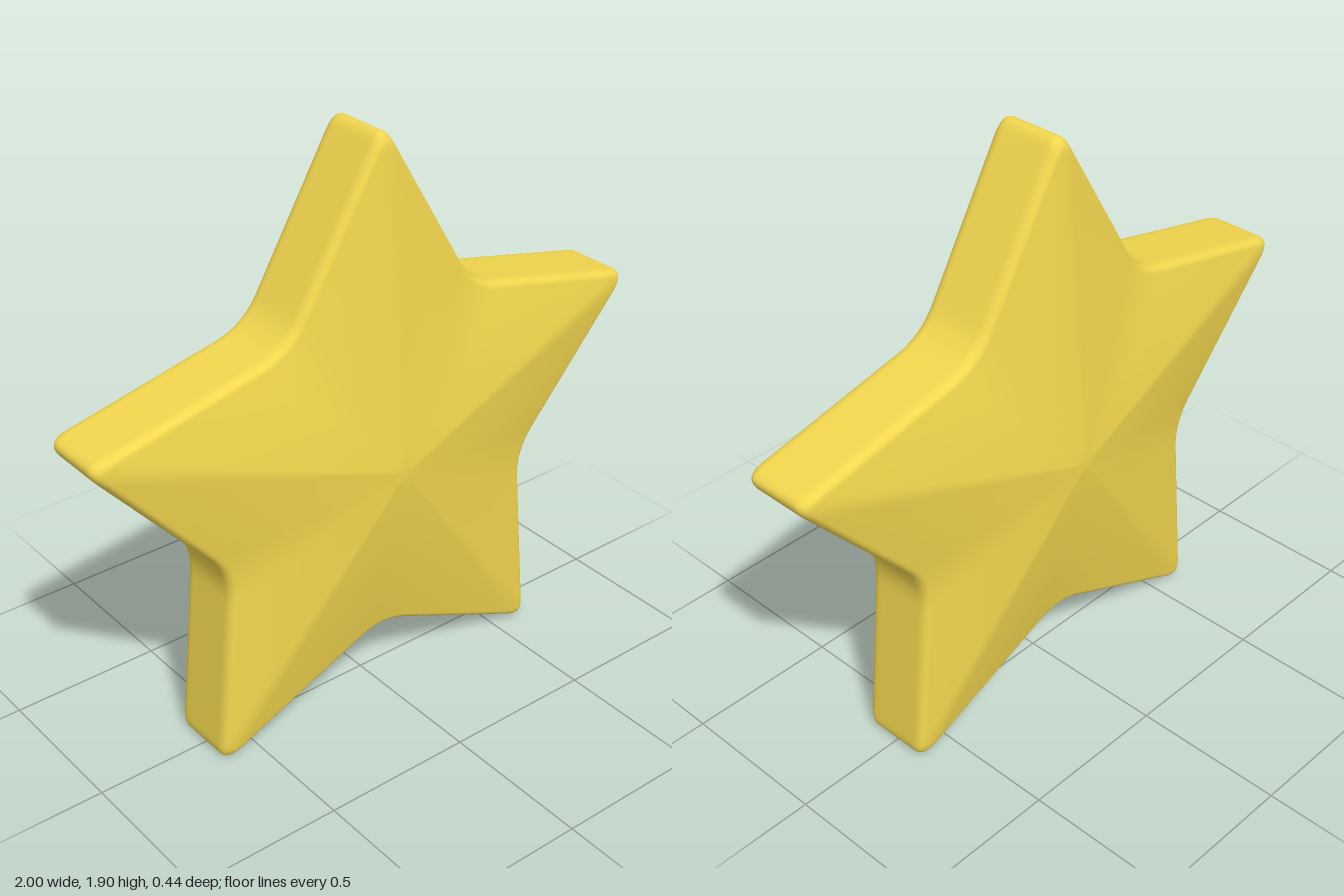
import * as THREE from 'three';

const TIP = 1.08, VALLEY = 0.6;        // sharp corner radii
const WALL = 0.085, RIM = 0.12, PEAK = 0.22; // half depths
const RIM_SCALE = 0.957;

// Five-pointed outline with rounded tips and valleys, counter-clockwise
function starOutline() {
  const corners = [];
  for (let i = 0; i < 10; i++) {
    const a = Math.PI / 2 + i * Math.PI / 5, r = i % 2 ? VALLEY : TIP;
    corners.push(new THREE.Vector2(Math.cos(a) * r, Math.sin(a) * r));
  }
  const toward = (p, q, d) => q.clone().sub(p).setLength(d).add(p);
  const points = [];
  corners.forEach((p, i) => {
    const prev = corners[(i + 9) % 10], next = corners[(i + 1) % 10];
    const cut = i % 2 ? 0.1 : 0.07, nextCut = i % 2 ? 0.07 : 0.1;
    const end = toward(p, next, cut);
    points.push(...new THREE.QuadraticBezierCurve(toward(p, prev, cut), p, end).getPoints(8));
    const nextStart = toward(next, p, nextCut);
    for (let k = 1; k < 8; k++) points.push(end.clone().lerp(nextStart, k / 8));
  });
  return points;
}

// Cross-sections from the front peak to the rim: [scale, z]
function frontSections() {
  const sections = [];
  for (let i = 1; i <= 16; i++) {
    const s = i / 16;
    sections.push([s * RIM_SCALE, RIM + (PEAK - RIM) * (1 - Math.pow(s, 1.15))]);
  }
  // rounded edge
  for (let i = 1; i <= 6; i++) {
    const a = i / 6 * Math.PI / 2;
    sections.push([RIM_SCALE + (1 - RIM_SCALE) * Math.sin(a), WALL + (RIM - WALL) * Math.cos(a)]);
  }
  return sections;
}

function starGeometry() {
  const outline = starOutline(), n = outline.length;
  const front = frontSections();
  const sections = [...front, [1, WALL - 0.01], [1, 0.01 - WALL],
    ...front.slice().reverse().map(([s, z]) => [s, -z])];
  const pos = [0, 0, PEAK], index = [];
  for (const [s, z] of sections) {
    // inner sections grow rounder so the ridges melt into the peak
    const mix = 0.6 * Math.max(0, 1 - s / RIM_SCALE);
    for (const p of outline) {
      const r = p.length(), k = s * THREE.MathUtils.lerp(r, 0.8, mix) / r;
      pos.push(p.x * k, p.y * k, z);
    }
  }
  const last = pos.length / 3;
  pos.push(0, 0, -PEAK);
  for (let j = 0; j < n; j++) {
    const k = (j + 1) % n;
    index.push(0, 1 + j, 1 + k);
    for (let i = 0; i < sections.length - 1; i++) {
      const a = 1 + i * n, b = a + n;
      index.push(a + j, b + j, b + k, a + j, b + k, a + k);
    }
    index.push(last, last - n + k, last - n + j);
  }
  const g = new THREE.BufferGeometry();
  g.setAttribute('position', new THREE.Float32BufferAttribute(pos, 3));
  g.setIndex(index);
  g.computeBoundingBox();
  g.translate(0, -g.boundingBox.min.y, 0);
  g.computeVertexNormals();
  return g;
}

export function createModel() {
  const group = new THREE.Group();
  group.name = 'star';
  const body = new THREE.Mesh(starGeometry(), new THREE.MeshStandardMaterial({ color: 0xf2d64e }));
  body.name = 'starBody';
  group.add(body);
  return group;
}
